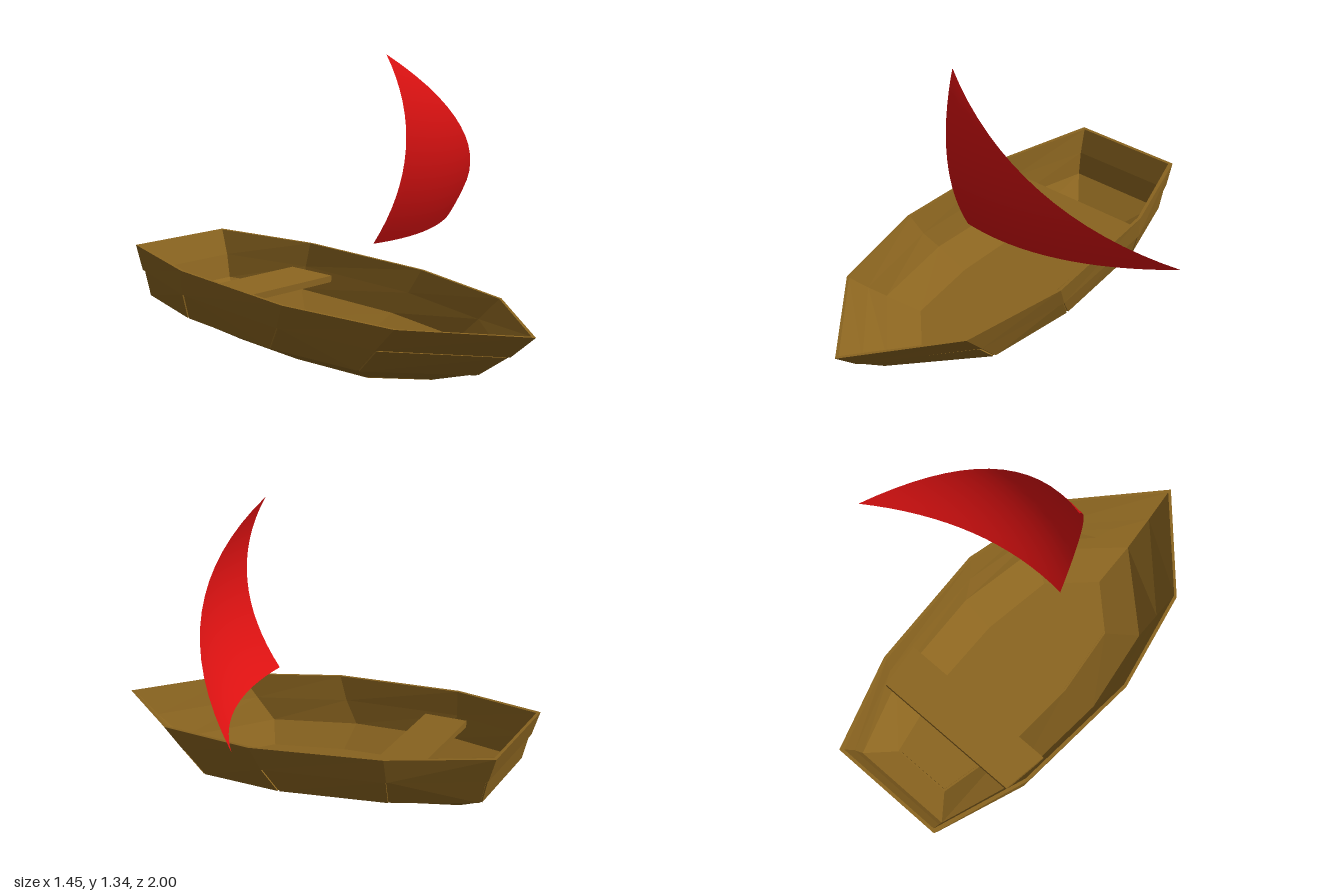
import * as THREE from 'three';
import { ConvexGeometry } from 'three/addons/geometries/ConvexGeometry.js';

const wood = new THREE.MeshStandardMaterial({ color: 0x8b6520, flatShading: true });
const red = new THREE.MeshStandardMaterial({ color: 0xe01212, side: THREE.DoubleSide });

const CENTRE = -0.25, SLOPE = 0.09;
// Hull space to model space: the boat is off centre and rises towards the stern
const place = (x, h, z) => new THREE.Vector3(x + CENTRE, h - SLOPE * z, z);

// Each level: height, half-width and z from stern to bow, and z of the stem
const LEVELS = {
  bottom: { h: 0.05, pts: [[0.15, -0.8], [0.23, -0.41], [0.245, -0.05], [0.2, 0.3]], tip: 0.5 },
  bilge: { h: 0.13, pts: [[0.255, -0.93], [0.375, -0.56], [0.41, -0.04], [0.345, 0.38]], tip: 0.72 },
  waist: { h: 0.24, pts: [[0.265, -0.955], [0.405, -0.56], [0.44, 0.03], [0.355, 0.48]], tip: 0.865 },
  lip: { h: 0.24, pts: [[0.272, -0.967], [0.417, -0.56], [0.453, 0.03], [0.365, 0.48]], tip: 0.88 },
  rim: { h: 0.35, pts: [[0.28, -1], [0.43, -0.55], [0.475, 0.08], [0.37, 0.58]], tip: 1 },
};

// Nine-point outline of a level, optionally moved inwards and upwards
function ring({ h, pts, tip }, inset = 0, lift = 0) {
  const side = pts.map(([x, z], i) => [x - inset, i === 0 ? z + inset : z]);
  const outline = [...side, [0, tip - inset * 1.4], ...side.map(([x, z]) => [-x, z]).reverse()];
  return outline.map(([x, z]) => place(x, h + lift, z));
}

// Closed solid through a list of outlines, capped at the first and last
function loft(rings) {
  const n = rings[0].length, index = [];
  for (let k = 0; k < rings.length - 1; k++) {
    for (let i = 0; i < n; i++) {
      const j = (i + 1) % n, a = k * n, b = a + n;
      index.push(a + j, a + i, b + i, a + j, b + i, b + j);
    }
  }
  const last = (rings.length - 1) * n;
  for (let i = 1; i < n - 1; i++) {
    index.push(0, i, i + 1, last, last + i + 1, last + i);
  }
  const geo = new THREE.BufferGeometry().setFromPoints(rings.flat());
  geo.setIndex(index);
  const flat = geo.toNonIndexed();
  flat.computeVertexNormals();
  return flat;
}

function add(parent, name, geometry, material = wood) {
  const mesh = new THREE.Mesh(geometry, material);
  mesh.name = name;
  parent.add(mesh);
}

// Slightly raised planks with narrow seams around the lower strake
function addPlanks(parent) {
  const low = ring(LEVELS.bilge), high = ring(LEVELS.waist);
  const gap = 0.005, proud = 0.006;
  for (let i = 0; i < low.length; i++) {
    const j = (i + 1) % low.length;
    const f = gap / low[i].distanceTo(low[j]);
    const g = i === 3 || i === 4 ? 0 : f; // no seam at the stem
    const face = [
      low[i].clone().lerp(low[j], f), low[i].clone().lerp(low[j], 1 - g),
      high[i].clone().lerp(high[j], f), high[i].clone().lerp(high[j], 1 - g),
    ];
    const out = low[j].clone().sub(low[i]).cross(high[i].clone().sub(low[i])).normalize();
    const mid = low[i].clone().add(low[j]).multiplyScalar(0.5);
    if (out.dot(mid.sub(place(0, 0.13, -0.1))) < 0) out.negate();
    const outer = face.map((p) => p.clone().addScaledVector(out, proud));
    const inner = face.map((p) => p.clone().addScaledVector(out, -0.004));
    add(parent, 'sidePlank', new ConvexGeometry([...outer, ...inner]));
  }
}

// Curved triangular patch: three corners and one control point per edge
function sailGeometry() {
  const v = (x, y, z) => new THREE.Vector3(x, y, z);
  const head = v(-0.245, 1.345, 0.24), tack = v(-0.245, 0.54, 0.17), clew = v(0.72, 0.57, -0.12);
  const luff = v(-0.185, 0.957, 0.435), foot = v(0.24, 0.53, 0.225), leech = v(0.3, 0.97, 0.49);
  const geo = new THREE.PlaneGeometry(1, 1, 16, 16);
  const pos = geo.attributes.position;
  for (let i = 0; i < pos.count; i++) {
    const t = pos.getX(i) + 0.5, s = 0.5 - pos.getY(i);
    const a = 1 - s, b = s * (1 - t), c = s * t;
    const p = v(0, 0, 0)
      .addScaledVector(head, a * a).addScaledVector(tack, b * b).addScaledVector(clew, c * c)
      .addScaledVector(luff, 2 * a * b).addScaledVector(foot, 2 * b * c).addScaledVector(leech, 2 * a * c);
    pos.setXYZ(i, p.x, p.y, p.z);
  }
  geo.computeVertexNormals();
  // The collapsed top row shares one normal
  const nor = geo.attributes.normal;
  for (let i = 0; i <= 16; i++) nor.setXYZ(i, nor.getX(8), nor.getY(8), nor.getZ(8));
  return geo;
}

export function createModel() {
  const model = new THREE.Group();
  model.name = 'sailboat';
  const boat = new THREE.Group();
  boat.name = 'boat';
  model.add(boat);

  // Hull shell: up the outside, over the rim and down the inside
  const { bottom, bilge, waist, lip, rim } = LEVELS;
  add(boat, 'hull', loft([
    ring(bottom), ring(bilge), ring(waist), ring(lip), ring(rim),
    ring(rim, 0.015), ring(waist, 0.012), ring(bilge, 0.014, 0.006), ring(bottom, 0.008, 0.014),
  ]));
  addPlanks(boat);

  // Floor boards inside and the flat keel board below
  add(boat, 'floorBoard', loft([ring(bottom, 0.016, 0.012), ring(bottom, 0.016, 0.019)]));
  add(boat, 'keelBoard', loft([ring(bottom, 0.006, -0.004), ring(bottom, 0.006, 0.002)]));

  // Bench across the stern half
  const corners = [];
  for (const h of [0.2, 0.23]) {
    for (const s of [-1, 1]) corners.push(place(s * 0.365, h, -0.62), place(s * 0.395, h, -0.4));
  }
  add(boat, 'bench', new ConvexGeometry(corners));

  add(model, 'sail', sailGeometry(), red);
  return model;
}
